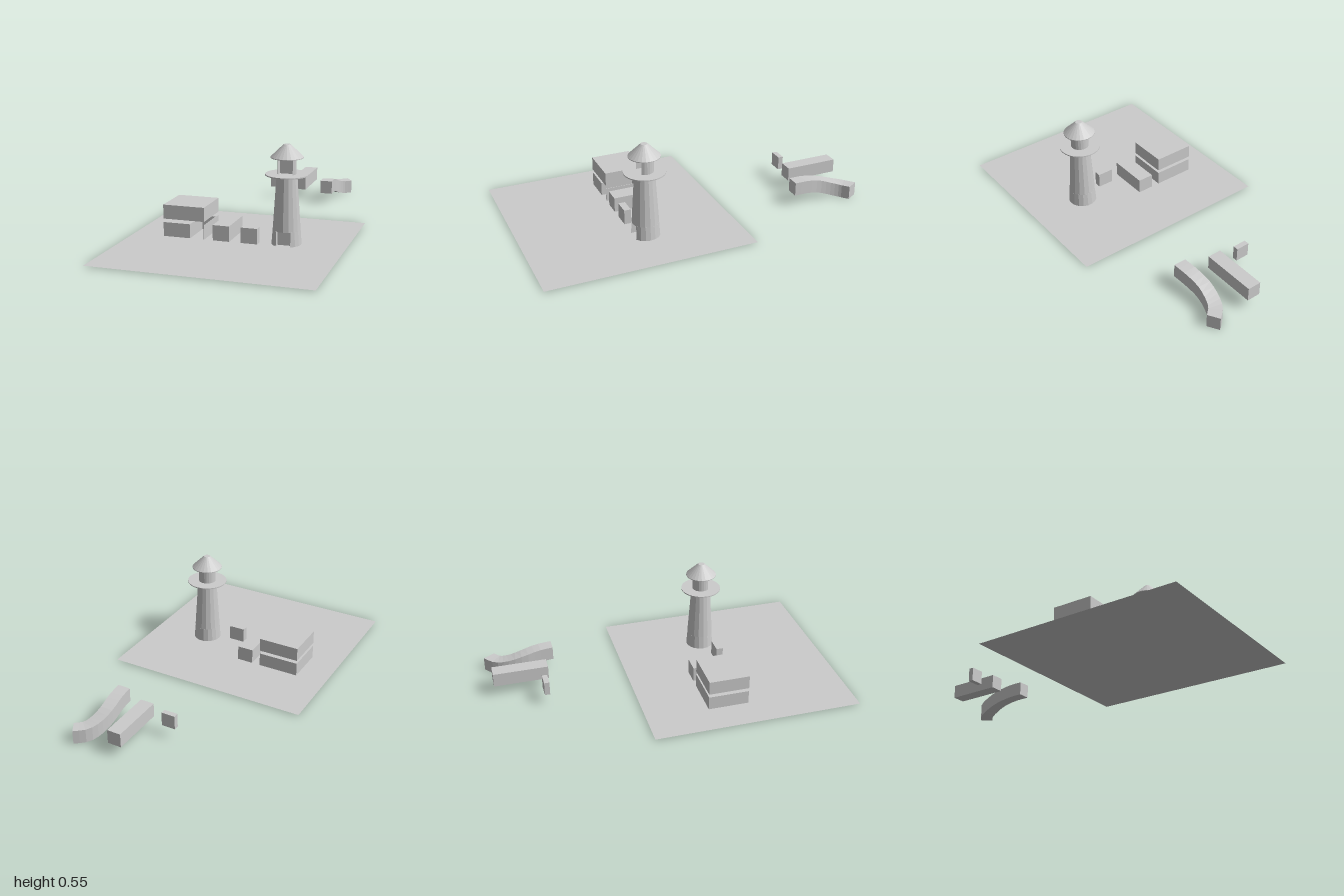
import * as THREE from 'three';

const mat = new THREE.MeshStandardMaterial({ color: 0xcccccc, flatShading: true, side: THREE.DoubleSide });
const GROUND = 0.005;
const TOWER = [0.27, 0.325]; // x, z of the tower axis

export function createModel() {
  const root = new THREE.Group();

  const add = (name, geo, x = 0, y = 0, z = 0) => {
    const mesh = new THREE.Mesh(geo, mat);
    mesh.name = name;
    mesh.position.set(x, y, z);
    root.add(mesh);
  };

  // Box given by its limits on each axis
  const box = (name, x0, x1, y0, y1, z0, z1) =>
    add(name, new THREE.BoxGeometry(x1 - x0, y1 - y0, z1 - z0), (x0 + x1) / 2, (y0 + y1) / 2, (z0 + z1) / 2);

  // Upright extrusion of a plan drawn as (x, -z)
  const upright = (shape, depth) =>
    new THREE.ExtrudeGeometry(shape, { depth, bevelEnabled: false }).rotateX(-Math.PI / 2);

  // Round drum, tapered from r0 to r1, with a square opening cut into its front
  const openDrum = (r0, r1, h, half, back) => {
    const a = Math.asin(half / r0), n = 15, pts = [];
    for (let i = 0; i <= n; i++) {
      const t = a + ((2 * Math.PI - 2 * a) * i) / n;
      pts.push(new THREE.Vector2(Math.sin(t) * r0, -Math.cos(t) * r0));
    }
    pts.push(new THREE.Vector2(-half, -back), new THREE.Vector2(half, -back));
    const geo = upright(new THREE.Shape(pts), h);
    const p = geo.attributes.position;
    for (let i = 0; i < p.count; i++) {
      const x = p.getX(i), z = p.getZ(i);
      if (p.getY(i) < h / 2 || Math.hypot(x, z) < r0 - 1e-4) continue;
      if (z > 0 && Math.abs(Math.abs(x) - half) < 1e-4) p.setZ(i, Math.sqrt(r1 * r1 - half * half));
      else { p.setX(i, (x * r1) / r0); p.setZ(i, (z * r1) / r0); }
    }
    geo.computeVertexNormals();
    return geo;
  };

  // Round section of the tower between two heights
  const drum = (name, r0, r1, y0, y1, sides = 16) =>
    add(name, new THREE.CylinderGeometry(r1, r0, y1 - y0, sides), TOWER[0], (y0 + y1) / 2, TOWER[1]);

  add('ground', new THREE.PlaneGeometry(1.2, 1.2).rotateX(-Math.PI / 2), 0, GROUND, 0.4);

  // House: lower storey with an open bay at the front, upper storey above it
  const plan = new THREE.Shape([
    [-0.42, -0.395], [-0.263, -0.395], [-0.263, -0.2], [-0.183, -0.2],
    [-0.183, -0.395], [-0.18, -0.395], [-0.18, -0.16], [-0.42, -0.16],
  ].map(([x, y]) => new THREE.Vector2(x, y)));
  add('lowerStorey', upright(plan, 0.08), 0, GROUND, 0);
  box('upperStorey', -0.42, -0.18, 0.105, 0.185, 0.16, 0.395);

  // Blocks between the house and the tower
  box('longBlock', -0.13, -0.035, GROUND, 0.092, 0.16, 0.395);
  box('shortBlock', 0.03, 0.125, GROUND, 0.092, 0.355, 0.395);

  // Tower
  add('towerBase', openDrum(0.082, 0.076, 0.08, 0.04, 0.04), TOWER[0], GROUND, TOWER[1]);
  drum('towerShaft', 0.076, 0.056, 0.085, 0.387);
  drum('gallery', 0.117, 0.117, 0.386, 0.392, 32);
  add('lanternRoom', openDrum(0.051, 0.051, 0.083, 0.04, 0), TOWER[0], 0.392, TOWER[1]);
  drum('lanternLintel', 0.051, 0.051, 0.475, 0.481);
  drum('roofRim', 0.089, 0.089, 0.48, 0.484, 24);
  drum('roof', 0.089, 0.019, 0.484, 0.552, 24);

  // Detached pieces behind the ground
  box('smallPiece', -0.12, -0.04, 0.065, 0.145, -0.71, -0.68);
  box('straightPiece', 0.04, 0.12, 0.065, 0.145, -0.975, -0.66);

  // Curved piece: a square section swept along a descending bend
  const path = new THREE.CatmullRomCurve3([
    [0.27, 0.105, -0.6], [0.264, 0.1, -0.69], [0.257, 0.08, -0.78],
    [0.268, 0.055, -0.86], [0.295, 0.041, -0.922], [0.346, 0.04, -0.968],
  ].map((v) => new THREE.Vector3(...v)));
  const STEPS = 12, H = 0.04, pos = [], idx = [];
  for (let i = 0; i <= STEPS; i++) {
    const c = path.getPoint(i / STEPS), d = path.getTangent(i / STEPS).setY(0).normalize();
    if (i === 0) d.set(0, 0, -1);
    if (i === STEPS) d.set(0.86, 0, -0.51);
    const w = 0.037;
    for (const [s, v] of [[-1, -1], [1, -1], [1, 1], [-1, 1]])
      pos.push(c.x - d.z * w * s, Math.max(0, c.y + H * v), c.z + d.x * w * s);
    if (i < STEPS) for (let k = 0; k < 4; k++) {
      const a = i * 4 + k, b = i * 4 + ((k + 1) % 4);
      idx.push(a, a + 4, b, b, a + 4, b + 4);
    }
  }
  const e = STEPS * 4;
  idx.push(0, 1, 2, 0, 2, 3, e, e + 2, e + 1, e, e + 3, e + 2);
  const bend = new THREE.BufferGeometry();
  bend.setAttribute('position', new THREE.Float32BufferAttribute(pos, 3));
  bend.setIndex(idx);
  const flat = bend.toNonIndexed();
  flat.computeVertexNormals();
  add('curvedPiece', flat);

  return root;
}
